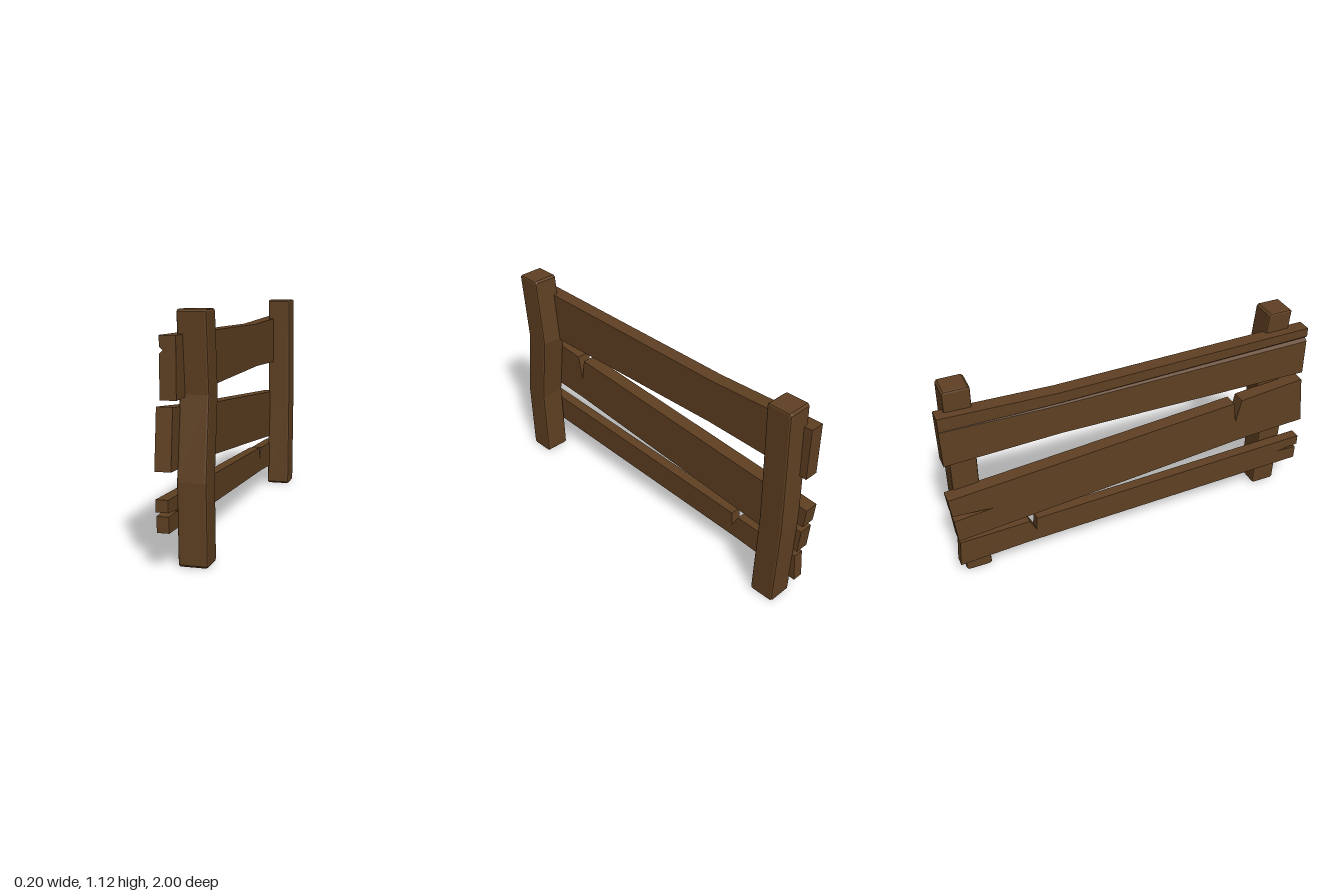
import * as THREE from 'three';

// Outlines are [u, y], where u runs along the fence from its front end (u = -z).
function slab(name, outline, x0, x1, material, { bevel = 0, skew = 0 } = {}) {
  const shape = new THREE.Shape(outline.map(([u, y]) => new THREE.Vector2(u, y)));
  let g = new THREE.ExtrudeGeometry(shape, {
    depth: x1 - x0 - 2 * bevel,
    bevelEnabled: bevel > 0,
    bevelThickness: bevel,
    bevelSize: bevel,
    bevelOffset: -bevel,
    bevelSegments: 2,
  });
  g.rotateY(Math.PI / 2).translate(x0 + bevel, 0, 0);
  // lean the slab sideways along its length
  const p = g.attributes.position;
  for (let i = 0; i < p.count; i++) p.setX(i, p.getX(i) - skew * p.getZ(i));
  g.computeVertexNormals();
  const mesh = new THREE.Mesh(g, material);
  mesh.name = name;
  return mesh;
}

// Crooked post: stations are [centre u, y] from bottom to top, with clipped corners.
function post(name, stations, x0, x1, material) {
  const h = 0.0675, c = 0.01;
  const right = [], left = [];
  stations.forEach(([u, y], i) => {
    const end = i === 0 ? 1 : i === stations.length - 1 ? -1 : 0;
    if (end === 1) { right.push([u + h - c, y]); left.push([u - h + c, y]); }
    right.push([u + h, y + end * c]);
    left.push([u - h, y + end * c]);
    if (end === -1) { right.push([u + h - c, y]); left.push([u - h + c, y]); }
  });
  return slab(name, [...right, ...left.reverse()], x0, x1, material, { bevel: 0.01 });
}

// Board with a long crack in its outer face that fades toward the back end.
function crackedBoard(name, material) {
  const x0 = -0.08, x1 = -0.006;
  // z, bottom, top, crack height, crack half width, crack depth
  const stations = [
    [0.985, 0.742, 1.015, 0.952, 0.015, 0.016],
    [-0.4, 0.76, 0.996, 0.932, 0.007, 0.008],
    [-0.99, 0.742, 1.015, 0.94, 0.001, 0.001],
  ];
  const pos = [], idx = [], n = 7;
  for (const [z, b, t, y, w, d] of stations) {
    const ring = [[x0 + d, y], [x0, y - w], [x0, b], [x1, b], [x1, t], [x0, t], [x0, y + w]];
    for (const [px, py] of ring) pos.push(px, py, z);
  }
  for (let s = 0; s < stations.length - 1; s++) {
    for (let j = 0; j < n; j++) {
      const a = s * n + j, k = s * n + ((j + 1) % n);
      idx.push(a, a + n, k, k, a + n, k + n);
    }
  }
  const last = (stations.length - 1) * n;
  for (let j = 1; j < n - 1; j++) {
    idx.push(0, j, j + 1);
    idx.push(last, last + j + 1, last + j);
  }
  let g = new THREE.BufferGeometry();
  g.setAttribute('position', new THREE.Float32BufferAttribute(pos, 3));
  g.setIndex(idx);
  g = g.toNonIndexed();
  g.computeVertexNormals();
  const mesh = new THREE.Mesh(g, material);
  mesh.name = name;
  return mesh;
}

export function createModel() {
  const wood = new THREE.MeshStandardMaterial({ color: 0x5f4022, flatShading: true });
  wood.name = 'brown wood';
  const fence = new THREE.Group();
  fence.name = 'fence';

  // Posts
  fence.add(post('frontPost',
    [[-0.838, 0], [-0.85, 0.38], [-0.802, 0.755], [-0.838, 1.12]], -0.033, 0.102, wood));
  fence.add(post('backPost',
    [[0.876, 0], [0.89, 0.47], [0.888, 0.62], [0.876, 1.12]], -0.037, 0.092, wood));

  // Top board
  fence.add(crackedBoard('topBoard', wood));

  // Middle board: nick in the upper edge, split back end
  fence.add(slab('middleBoard', [
    [-1, 0.44], [-0.6, 0.42], [0.83, 0.29], [0.975, 0.277],
    [0.985, 0.41], [0.78, 0.43], [0.99, 0.446],
    [1, 0.55], [-0.56, 0.67], [-0.577, 0.545], [-0.605, 0.677], [-0.97, 0.713],
  ], -0.102, -0.028, wood));

  // Bottom board: split front end, nick in the upper edge
  fence.add(slab('bottomBoard', [
    [-0.99, 0.172], [0.6, 0.12], [0.98, 0.095], [0.967, 0.245],
    [0.6, 0.256], [0.567, 0.19], [0.56, 0.262], [-1, 0.32],
    [-1, 0.264], [-0.87, 0.249], [-0.992, 0.245],
  ], -0.09, -0.034, wood, { skew: 0.008 }));

  return fence;
}
